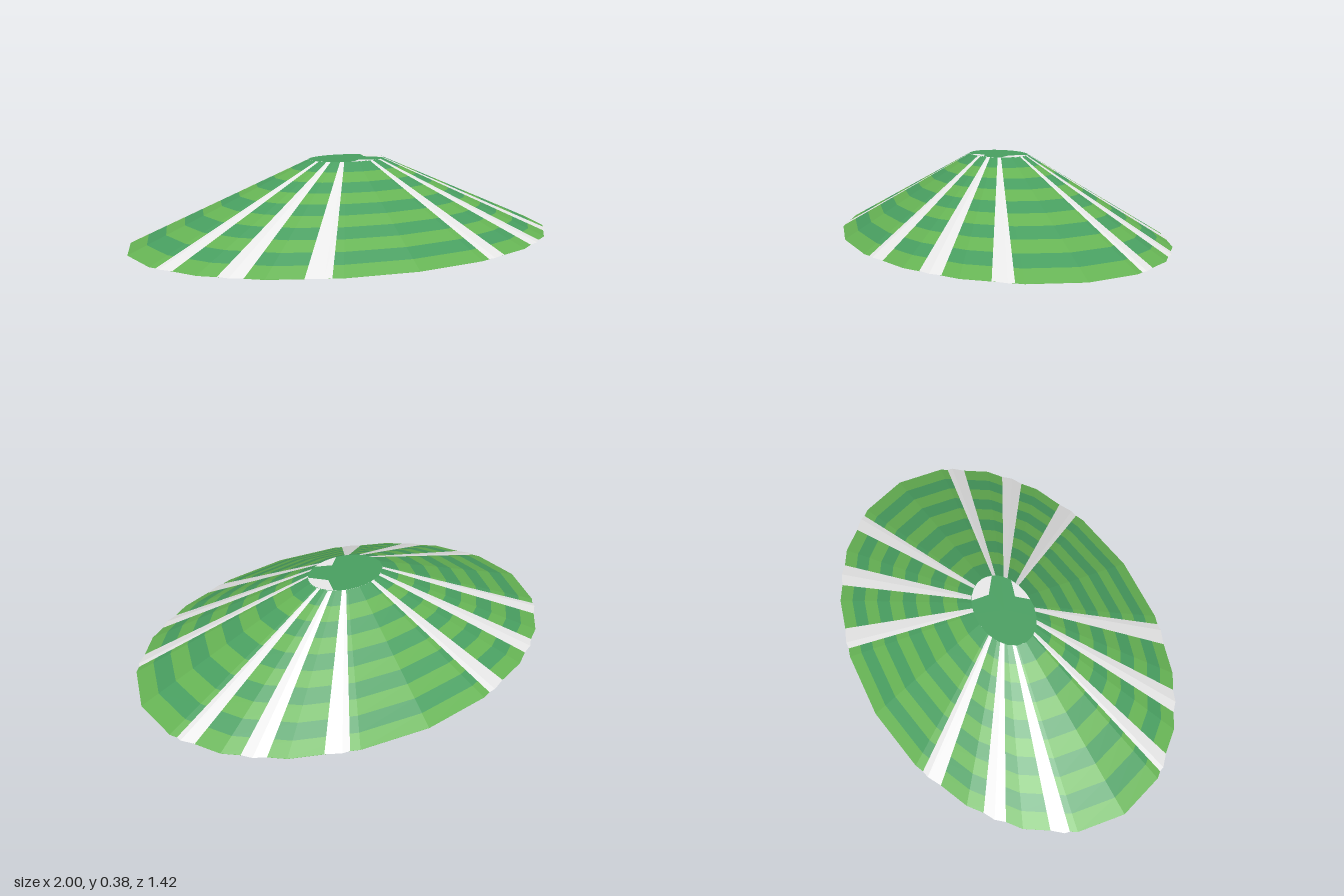
import * as THREE from 'three';

const DEPTH = 0.71, BASE_Y = 0.02, TOP_Y = 0.375, TOP_R = 0.18, ROWS = 10;

export function createModel() {
  const group = new THREE.Group();
  const mat = (name, color) => {
    const m = new THREE.MeshStandardMaterial({ color, flatShading: true, side: THREE.DoubleSide });
    m.name = name;
    return m;
  };
  const lightGreen = mat('light green', 0x66b354);
  const darkGreen = mat('dark green', 0x489e60);
  const white = mat('white', 0xe8e8e8);

  const add = (name, geometry, material, x, y, z) => {
    const mesh = new THREE.Mesh(geometry, material);
    mesh.name = name;
    mesh.position.set(x, y, z);
    group.add(mesh);
    return mesh;
  };
  const frustum = (rTop, rBottom, h, sides, open) =>
    new THREE.CylinderGeometry(rTop, rBottom, h, sides, 1, open).scale(1, 1, DEPTH);
  const radiusAt = t => 1 + (TOP_R - 1) * t;

  // Striped canopy: twenty-sided rings, light and dark in turn
  const rowH = (TOP_Y - BASE_Y) / ROWS;
  for (let i = 0; i < ROWS; i++) {
    add('stripe' + (i + 1),
      frustum(radiusAt((i + 1) / ROWS), radiusAt(i / ROWS), rowH, 20, true),
      i % 2 ? darkGreen : lightGreen, 0, BASE_Y + (i + 0.5) * rowH, 0);
  }

  // Sixteen-sided white cone whose corners show through as ribs
  add('whiteRibs', frustum(TOP_R, 1, TOP_Y - BASE_Y, 16, false), white,
    0, (TOP_Y + BASE_Y) / 2, 0);

  // Flat green caps
  const disc = r => new THREE.CircleGeometry(r, 20).rotateX(Math.PI / 2).scale(1, 1, DEPTH);
  add('topCap', disc(TOP_R), darkGreen, 0, TOP_Y + 0.0005, 0);
  add('underside', disc(1), lightGreen, 0, BASE_Y - 0.001, 0);

  // Wedge plate from an inner point out to the rim, angles in degrees from +x to +z
  const wedge = (from, to, inner, outer) => {
    const at = (deg, r) => {
      const a = THREE.MathUtils.degToRad(deg);
      return new THREE.Vector2(Math.cos(a) * r, Math.sin(a) * r * DEPTH);
    };
    const points = [at((from + to) / 2, inner)];
    for (let i = 0; i <= 6; i++) points.push(at(from + (to - from) * i / 6, outer));
    return new THREE.ShapeGeometry(new THREE.Shape(points)).rotateX(Math.PI / 2);
  };

  // White patches under the canopy
  const patches = [[-45, 0], [34, 52], [67.5, 107], [140, 162], [190, 218], [225, 255], [258, 306]];
  for (const [from, to] of patches) {
    add('undersidePatch', wedge(from, to, 0.2, 0.985), white, 0, BASE_Y - 0.002, 0);
  }

  // White patches on the top
  for (const [from, to, inner] of [[-50, 20, 0.1], [55, 97, 0.11]]) {
    add('topPatch', wedge(from, to, inner, TOP_R * 0.985), white, 0, TOP_Y + 0.001, 0);
  }

  // Two small pointed feet
  for (const [x, z] of [[0.71, 0.035], [-0.55, 0.32]]) {
    add('foot', new THREE.ConeGeometry(0.045, BASE_Y, 8).rotateX(Math.PI), white, x, BASE_Y / 2, z);
  }

  return group;
}
